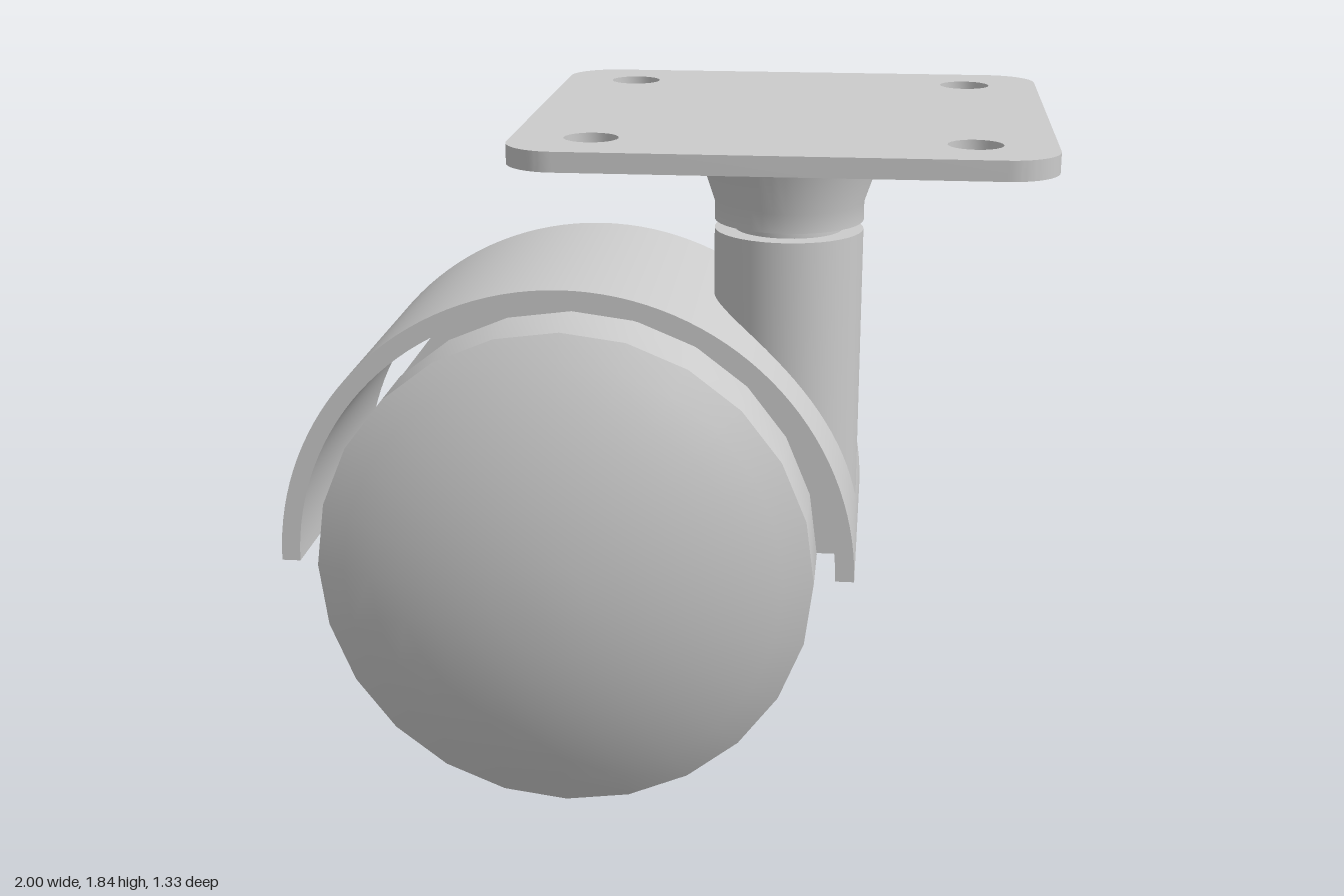
import * as THREE from 'three';
import { toCreasedNormals } from 'three/addons/utils/BufferGeometryUtils.js';

const material = new THREE.MeshStandardMaterial({ color: 0xcccccc });
const AXLE_X = -0.23, AXLE_Y = 0.67;

function add(parent, name, geometry, x = 0, y = 0, z = 0) {
  const mesh = new THREE.Mesh(toCreasedNormals(geometry, 0.5), material);
  mesh.name = name;
  mesh.position.set(x, y, z);
  parent.add(mesh);
  return mesh;
}

const lathe = (points, sides) =>
  new THREE.LatheGeometry(points.map(([r, y]) => new THREE.Vector2(r, y)), sides);

// Extrusion centred on z = 0
function slab(shape, depth, curveSegments) {
  const g = new THREE.ExtrudeGeometry(shape, { depth, bevelEnabled: false, curveSegments });
  return g.translate(0, 0, -depth / 2);
}

// Part of a ring between two radii, from angle 0 to the given end
function ringSector(inner, outer, end) {
  const s = new THREE.Shape();
  s.absarc(0, 0, outer, 0, end, false);
  s.absarc(0, 0, inner, end, 0, true);
  s.closePath();
  return s;
}

// Square plate with rounded corners and four screw holes
function plateShape() {
  const h = 0.667, r = 0.13, c = h - r, s = new THREE.Shape();
  [[c, c], [-c, c], [-c, -c], [c, -c]].forEach(([x, y], i) =>
    s.absarc(x, y, r, i * Math.PI / 2, (i + 1) * Math.PI / 2, false));
  s.closePath();
  for (const x of [-1, 1]) for (const y of [-1, 1]) {
    const hole = new THREE.Path();
    hole.absarc(x * 0.468, y * 0.468, 0.068, 0, Math.PI * 2, true);
    s.holes.push(hole);
  }
  return s;
}

export function createModel() {
  const model = new THREE.Group();
  model.name = 'caster';

  // Twin wheels: flat inner face, straight tread, shallow domed outer face
  const r = 0.665, sag = 0.16, R = (r * r + sag * sag) / (2 * sag);
  const profile = [[0, 0.21], [r, 0.21], [r, 0.425]];
  const maxAngle = Math.asin(r / R);
  for (let i = 7; i >= 0; i--) {
    const a = maxAngle * i / 8;
    profile.push([R * Math.sin(a), 0.425 + sag - R * (1 - Math.cos(a))]);
  }
  for (const side of [1, -1]) {
    const g = lathe(profile, 24).rotateX(Math.PI / 2);
    if (side < 0) g.rotateY(Math.PI);
    add(model, side > 0 ? 'frontWheel' : 'backWheel', g, AXLE_X, AXLE_Y);
  }

  // Hub between the wheels
  const hub = new THREE.CylinderGeometry(0.27, 0.27, 0.43, 32).rotateX(Math.PI / 2);
  add(model, 'hub', hub, AXLE_X, AXLE_Y);

  // Half-round hood, with a quarter web joining it to the hub
  add(model, 'hood', slab(ringSector(0.72, 0.77, Math.PI), 0.8, 32), AXLE_X, AXLE_Y);
  add(model, 'web', slab(ringSector(0.25, 0.73, Math.PI / 2), 0.4, 24), AXLE_X, AXLE_Y);

  // Swivel stem: post, narrow neck, collar and flare under the plate
  const stem = lathe([
    [0, 0.72], [0.2, 0.72], [0.2, 1.53], [0.145, 1.53], [0.145, 1.555],
    [0.2, 1.555], [0.2, 1.605], [0.265, 1.797], [0, 1.797],
  ], 40);
  add(model, 'stem', stem, 0.333);

  // Mounting plate
  const plate = slab(plateShape(), 0.05, 12).rotateX(-Math.PI / 2);
  add(model, 'mountingPlate', plate, 0.333, 1.821);

  return model;
}
